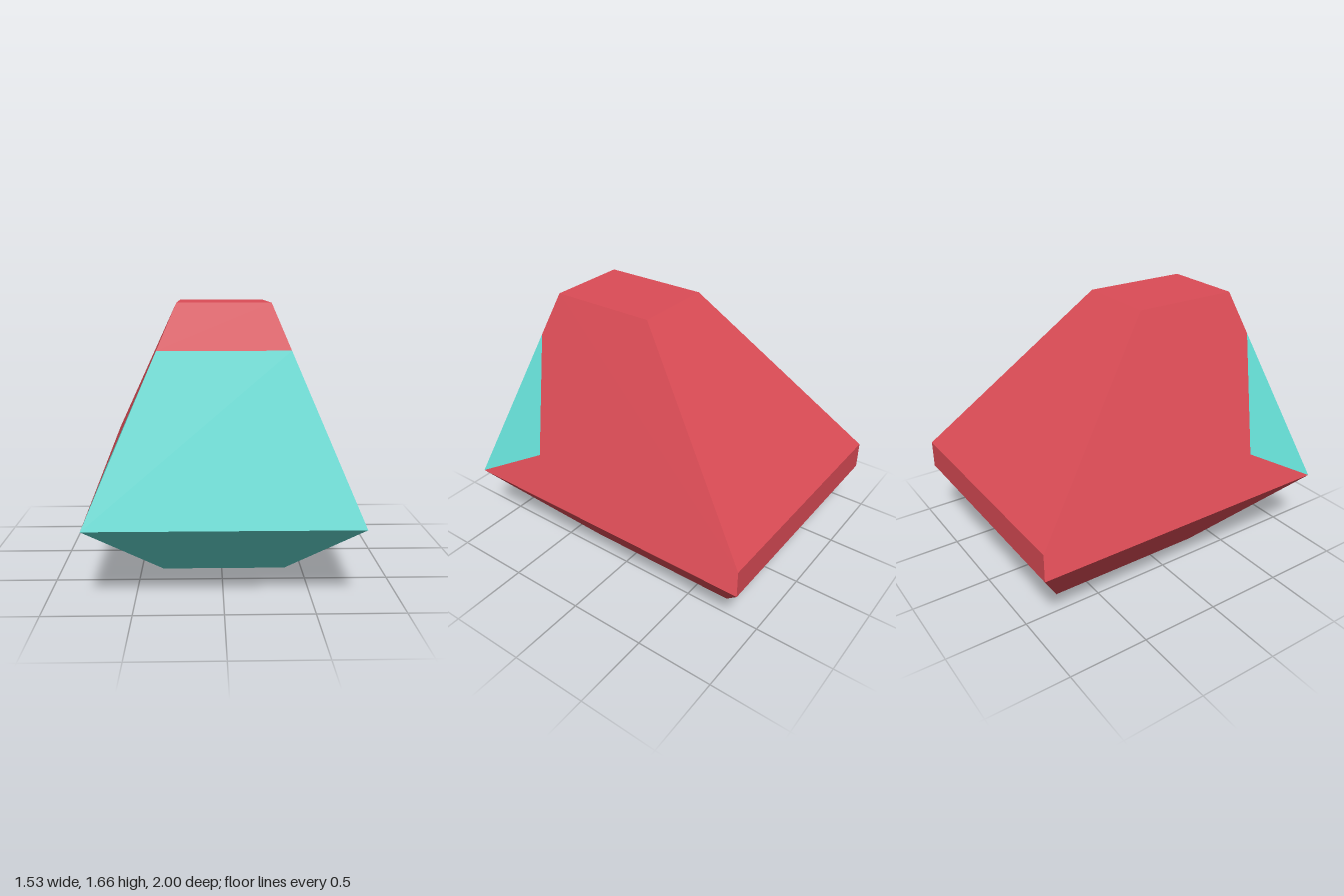
import * as THREE from 'three';

// Builds one flat panel as a fan from its first corner, turned to face outward.
function panel(points, name, material) {
  let pts = points.map((p) => new THREE.Vector3(...p));
  const normal = new THREE.Vector3();
  const outward = new THREE.Vector3(0, -0.75 * pts.length, 0);
  pts.forEach((p, i) => {
    normal.add(p.clone().cross(pts[(i + 1) % pts.length]));
    outward.add(p);
  });
  normal.normalize();
  if (normal.dot(outward) < 0) {
    pts = [pts[0], ...pts.slice(1).reverse()];
    normal.negate();
  }
  const position = [], normals = [];
  for (let i = 1; i < pts.length - 1; i++) {
    for (const p of [pts[0], pts[i], pts[i + 1]]) {
      position.push(p.x, p.y, p.z);
      normals.push(normal.x, normal.y, normal.z);
    }
  }
  const geometry = new THREE.BufferGeometry();
  geometry.setAttribute('position', new THREE.Float32BufferAttribute(position, 3));
  geometry.setAttribute('normal', new THREE.Float32BufferAttribute(normals, 3));
  const mesh = new THREE.Mesh(geometry, material);
  mesh.name = name;
  return mesh;
}

export function createModel() {
  const red = new THREE.MeshStandardMaterial({ color: 0xdc4c56 });
  red.name = 'red';
  const teal = new THREE.MeshStandardMaterial({ color: 0x64dbd3 });
  teal.name = 'teal';

  // Corners of one side: s = 1 is the left, s = -1 the right.
  const corners = (s) => {
    const xTop = s * 0.26 + 0.005;
    const xBase = s * 0.38 + 0.015;
    const nose = [s * 0.765, 0.475, 1];
    const topFront = [xTop, 1.66, 0.655];
    return {
      nose,
      topFront,
      topBack: [xTop, 1.66, -0.025],
      tailHigh: [s * 0.765, 0.65, -1],
      tailLow: [s * 0.765, 0.475, -1],
      baseFront: [xBase, 0, 0.33],
      baseBack: [xBase, 0, -0.72],
      // top of the windscreen, on the front pillar
      screenTop: nose.map((v, i) => v + (topFront[i] - v) * 0.785),
      // rear corner of the side window
      windowBack: [s * 0.671, 0.73, 0.54],
    };
  };
  const L = corners(1), R = corners(-1);
  const group = new THREE.Group();
  group.name = 'body';

  // Panels that span from left to right
  const across = (a, b, name, material) =>
    group.add(panel([L[a], L[b], R[b], R[a]], name, material));
  across('topFront', 'topBack', 'roof', red);
  across('topFront', 'screenTop', 'brow', red);
  across('screenTop', 'nose', 'windscreen', teal);
  across('nose', 'baseFront', 'chin', teal);
  across('baseFront', 'baseBack', 'underside', red);
  across('baseBack', 'tailLow', 'lowerTail', red);
  across('tailLow', 'tailHigh', 'tailStrip', red);
  across('tailHigh', 'topBack', 'rearSlope', red);

  // Side panels and side windows
  for (const [c, side] of [[L, 'left'], [R, 'right']]) {
    group.add(
      panel([c.tailHigh, c.topBack, c.topFront, c.screenTop, c.windowBack, c.nose, c.tailLow], side + 'SidePanel', red),
      panel([c.nose, c.screenTop, c.windowBack], side + 'SideWindow', teal),
      panel([c.nose, c.baseFront, c.baseBack, c.tailLow], side + 'LowerSide', red),
    );
  }
  return group;
}
